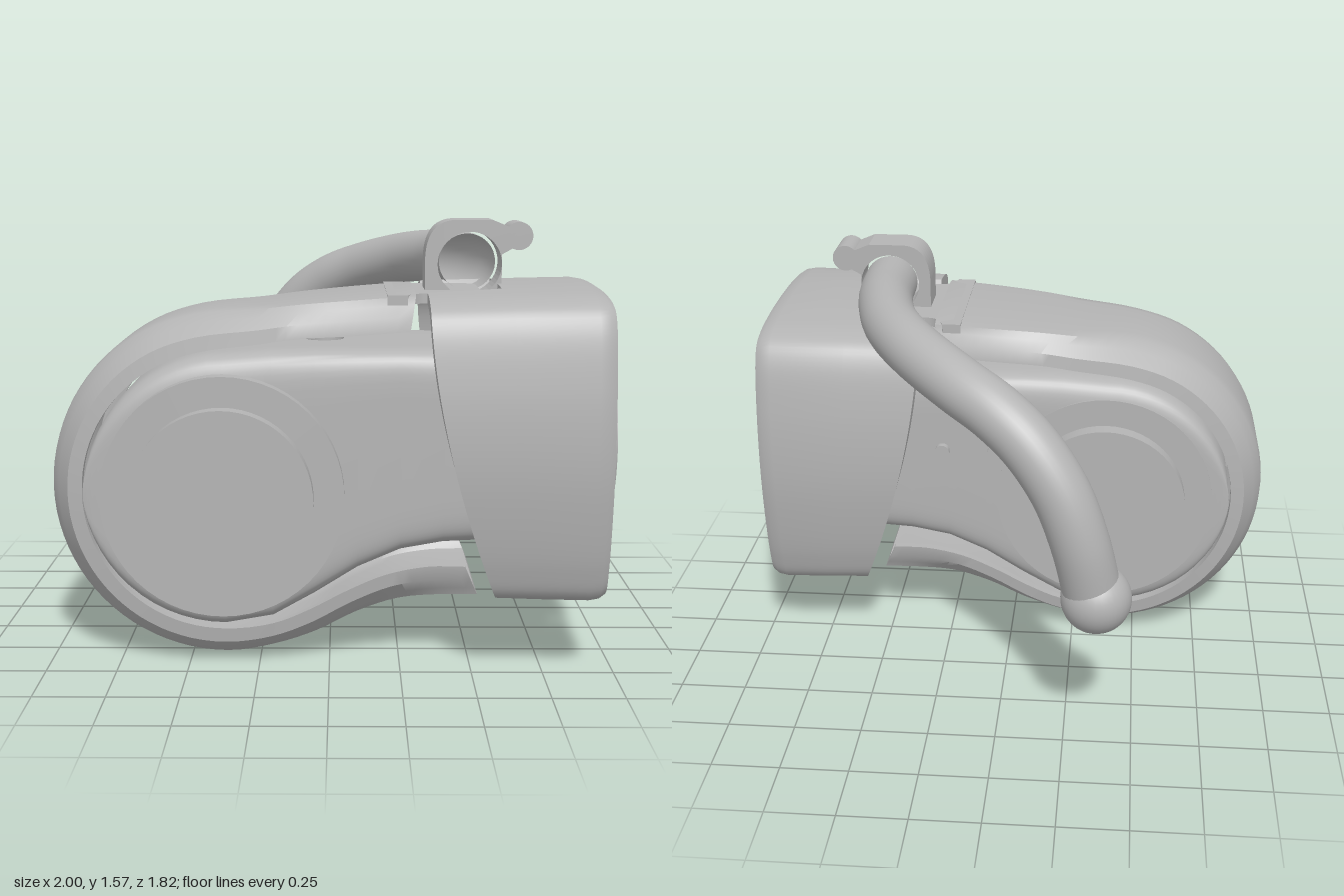
import * as THREE from 'three';
import { toCreasedNormals } from 'three/addons/utils/BufferGeometryUtils.js';

const V = (x, y, z) => new THREE.Vector3(x, y, z);
const MID = 0.35; // z of the symmetry plane of the main unit

// Skins a row of closed cross-sections, closing both ends with strips
function loft(rows, crease = 0.6) {
  const n = rows[0].length;
  const last = rows.length - 1;
  const pos = rows.flat().flatMap((p) => [p.x, p.y, p.z]);
  let tris = [];
  const quad = (a, b, c, d) => tris.push([a, b, c], [a, c, d]);
  for (let i = 0; i < last; i++) {
    for (let j = 0; j < n; j++) {
      const k = (j + 1) % n;
      quad(i * n + j, i * n + k, (i + 1) * n + k, (i + 1) * n + j);
    }
  }
  for (let j = 0; j < n / 2 - 1; j++) {
    quad(j, n - 1 - j, n - 2 - j, j + 1);
    const b = last * n;
    quad(b + j, b + j + 1, b + n - 2 - j, b + n - 1 - j);
  }
  // Turn the faces outward if the enclosed volume is negative
  const all = rows.flat();
  const volume = tris.reduce((s, [a, b, c]) => s + all[a].dot(all[b].clone().cross(all[c])), 0);
  if (volume < 0) tris = tris.map(([a, b, c]) => [a, c, b]);
  const geo = new THREE.BufferGeometry();
  geo.setAttribute('position', new THREE.Float32BufferAttribute(pos, 3));
  geo.setIndex(tris.flat());
  return toCreasedNormals(geo, crease);
}

// Limb: round at one end, blending from a soft box to a circle at the other
function limbGeometry() {
  const stations = [];
  for (let i = 0; i <= 14; i++) {
    const a = 0.04 + (i / 14) * (Math.PI / 2 - 0.04);
    const h = 0.49 * Math.sin(a);
    stations.push([-0.37 - 0.49 * Math.cos(a), 0.64 + h, 0.64 - h, 0.36, 10]);
  }
  stations.push(
    [-0.2, 1.143, 0.18, 0.36, 10], [-0.05, 1.145, 0.265, 0.36, 10], [0.1, 1.145, 0.36, 0.36, 10],
    [0.25, 1.145, 0.425, 0.355, 10], [0.4, 1.145, 0.45, 0.355, 9], [0.55, 1.145, 0.455, 0.355, 8],
    [0.7, 1.145, 0.455, 0.352, 5.5], [0.8, 1.143, 0.456, 0.35, 3.8], [0.88, 1.142, 0.457, 0.346, 2.8],
    [0.95, 1.14, 0.46, 0.34, 2]
  );
  const bend = (v, e) => Math.sign(v) * Math.abs(v) ** (2 / e);
  return loft(stations.map(([x, top, bot, half, e]) =>
    Array.from({ length: 56 }, (_, j) => {
      const a = ((j + 0.5) / 56) * Math.PI * 2;
      return V(x, (top + bot) / 2 + bend(Math.sin(a), e) * (top - bot) / 2, MID + bend(Math.cos(a), e) * half);
    })));
}

// Cover: hollow chamfered channel wrapped round the limb
function coverGeometry() {
  const outer = [V(0.3, 1.333, 0.26), V(0.1, 1.318, 0.25), V(-0.1, 1.3, 0.23), V(-0.25, 1.282, 0.21)];
  const inner = [V(0.28, 1.205, 0), V(0.08, 1.19, 0), V(-0.12, 1.178, 0), V(-0.25, 1.16, 0)];
  for (let d = 100; d <= 270; d += 17) {
    const a = (d * Math.PI) / 180;
    outer.push(V(-0.37 + 0.63 * Math.cos(a), 0.64 + 0.63 * Math.sin(a), 0.17));
    inner.push(V(-0.37 + 0.5 * Math.cos(a), 0.64 + 0.5 * Math.sin(a), 0));
  }
  outer.push(V(-0.2, 0.037, 0.17), V(-0.05, 0.09, 0.18), V(0.1, 0.172, 0.2),
    V(0.25, 0.228, 0.22), V(0.4, 0.247, 0.24), V(0.53, 0.25, 0.25));
  inner.push(V(-0.2, 0.16, 0), V(-0.07, 0.212, 0), V(0.06, 0.28, 0),
    V(0.2, 0.34, 0), V(0.35, 0.37, 0), V(0.48, 0.37, 0));
  const oc = new THREE.CatmullRomCurve3(outer);
  const ic = new THREE.CatmullRomCurve3(inner);
  const rows = [];
  for (let i = 0; i <= 80; i++) {
    const o = oc.getPoint(i / 80);
    const q = ic.getPoint(i / 80);
    const f = o.z; // half-width of the flat back
    const half = [[0, 0.315], [0.4, 0.308], [0.72, (f + 0.32) / 2], [0.94, f + 0.025], [1, f - 0.03]];
    const skin = [...half.map(([t, w]) => [t, -w]), ...half.reverse().map(([t, w]) => [t, w])];
    const lining = skin.map(([t, w]) => [t * 0.76, w * 0.9]).reverse();
    rows.push([...skin, ...lining].map(([t, w]) =>
      V(q.x + (o.x - q.x) * t, q.y + (o.y - q.y) * t, MID + w)));
  }
  return loft(rows);
}

// Hood: rounded-square sleeve with a curved rear rim, top notch and bottom slit
function hoodGeometry() {
  const half = [[0.025, 0.24], [0.25, 0.258], [0.4, 0.275], [0.465, 0.305], [0.505, 0.4], [0.547, 0.63],
    [0.56, 0.82], [0.548, 1.05], [0.512, 1.24], [0.475, 1.3], [0.4, 1.33], [0.23, 1.351], [0, 1.358]];
  const pts = [...half, ...half.slice(0, -1).reverse().map(([w, y]) => [-w, y])];
  const curve = new THREE.CatmullRomCurve3(pts.map(([w, y]) => V(w, y, 0)));
  const rows = curve.getSpacedPoints(220).map(({ x: w, y }) => {
    let rim = 0.34 + 0.25 * Math.max(0, (1.33 - y) / 1.08) ** 1.7;
    if (y > 1) rim += (0.6 - rim) * (1 - THREE.MathUtils.smoothstep(Math.abs(w), 0.215, 0.265));
    const at = (x, s) => V(x, 0.8 + (y - 0.8) * s, MID + w * s);
    const size = (x) => 0.975 + 0.025 * Math.min(1, (x - 0.34) / 0.5);
    const mid = (rim + 0.9) / 2;
    return [
      at(rim, size(rim)), at(mid, size(mid)), at(0.9, 1), at(0.935, 0.99), at(0.957, 0.965),
      at(0.957, 0.94), at(0.945, 0.93), at(0.9, 0.928), at(mid, size(mid) - 0.07), at(rim, size(rim) - 0.07),
    ];
  });
  return loft(rows);
}

// Clamp ring with a flat foot
function clampGeometry() {
  const s = new THREE.Shape();
  s.moveTo(0.34, 1.29);
  s.lineTo(0.34, 1.44);
  s.quadraticCurveTo(0.345, 1.575, 0.45, 1.577);
  s.lineTo(0.58, 1.577);
  s.lineTo(0.67, 1.54);
  s.lineTo(0.67, 1.485);
  s.lineTo(0.615, 1.455);
  s.lineTo(0.615, 1.29);
  const hole = new THREE.Path();
  hole.absarc(0.5, 1.42, 0.115, 0, Math.PI * 2, true);
  s.holes.push(hole);
  return new THREE.ExtrudeGeometry(s, { depth: 0.155, bevelEnabled: false, curveSegments: 24 });
}

// Tongue that carries the clamp, drawn in plan and laid flat
function tongueGeometry() {
  const s = new THREE.Shape();
  s.moveTo(0.2, -0.29);
  s.lineTo(0.27, -0.29);
  s.quadraticCurveTo(0.29, -0.215, 0.34, -0.215);
  s.lineTo(0.48, -0.215);
  s.quadraticCurveTo(0.54, -0.21, 0.54, -0.15);
  s.lineTo(0.54, 0.15);
  s.quadraticCurveTo(0.54, 0.21, 0.48, 0.215);
  s.lineTo(0.34, 0.215);
  s.quadraticCurveTo(0.29, 0.215, 0.27, 0.29);
  s.lineTo(0.2, 0.29);
  return new THREE.ExtrudeGeometry(s, { depth: 0.035, bevelEnabled: false }).rotateX(-Math.PI / 2);
}

export function createModel() {
  const model = new THREE.Group();
  const grey = new THREE.MeshStandardMaterial({ color: 0xb4b4b4, side: THREE.DoubleSide });
  grey.name = 'grey';
  const add = (name, geo, x = 0, y = 0, z = 0) => {
    const mesh = new THREE.Mesh(geo, grey);
    mesh.name = name;
    mesh.position.set(x, y, z);
    model.add(mesh);
    return mesh;
  };
  // Cylinder along z between two depths
  const disc = (name, r, x, y, z0, z1) =>
    add(name, new THREE.CylinderGeometry(r, r, z1 - z0, 56).rotateX(Math.PI / 2), x, y, (z0 + z1) / 2);

  add('limb', limbGeometry());
  add('cover', coverGeometry());
  add('hood', hoodGeometry());
  add('endDisc', new THREE.CylinderGeometry(0.342, 0.342, 0.07, 64).rotateZ(Math.PI / 2), 0.965, 0.8, MID);

  // Joint discs on both sides
  disc('frontPlate', 0.423, -0.37, 0.64, 0.68, 0.765);
  disc('frontCap', 0.317, -0.37, 0.64, 0.74, 0.83);
  disc('backPlate', 0.423, -0.37, 0.64, -0.012, 0.06);
  disc('backCap', 0.317, -0.37, 0.64, -0.075, 0.02);

  // Lug and bolts on the back
  disc('backLug', 0.06, 0.03, 0.83, -0.012, 0.03);
  for (const [x, y] of [[0.065, 0.83], [0.27, 0.83]]) disc('bolt', 0.028, x, y, -0.03, 0.03);

  // Mounting boss on top of the limb
  add('topBoss', new THREE.CylinderGeometry(0.07, 0.07, 0.06, 32), -0.02, 1.16, MID);

  // Clamp and its mount
  add('tongue', tongueGeometry(), 0, 1.293, MID);
  add('clamp', clampGeometry(), 0, 0, 0.265);
  disc('clampLug', 0.05, 0.675, 1.52, 0.265, 0.42);

  // Curved handle with a ball end
  const path = new THREE.CatmullRomCurve3([
    V(0.5, 1.42, 0.3), V(0.495, 1.42, 0.15), V(0.475, 1.42, 0), V(0.42, 1.41, -0.2), V(0.31, 1.39, -0.4),
    V(0.13, 1.335, -0.59), V(0, 1.28, -0.68), V(-0.12, 1.19, -0.745), V(-0.23, 1.04, -0.79),
    V(-0.3, 0.86, -0.805), V(-0.35, 0.64, -0.785),
  ]);
  add('handle', new THREE.TubeGeometry(path, 80, 0.103, 32, false));
  add('handleBall', new THREE.SphereGeometry(0.125, 32, 20), -0.36, 0.635, -0.785);

  return model;
}
